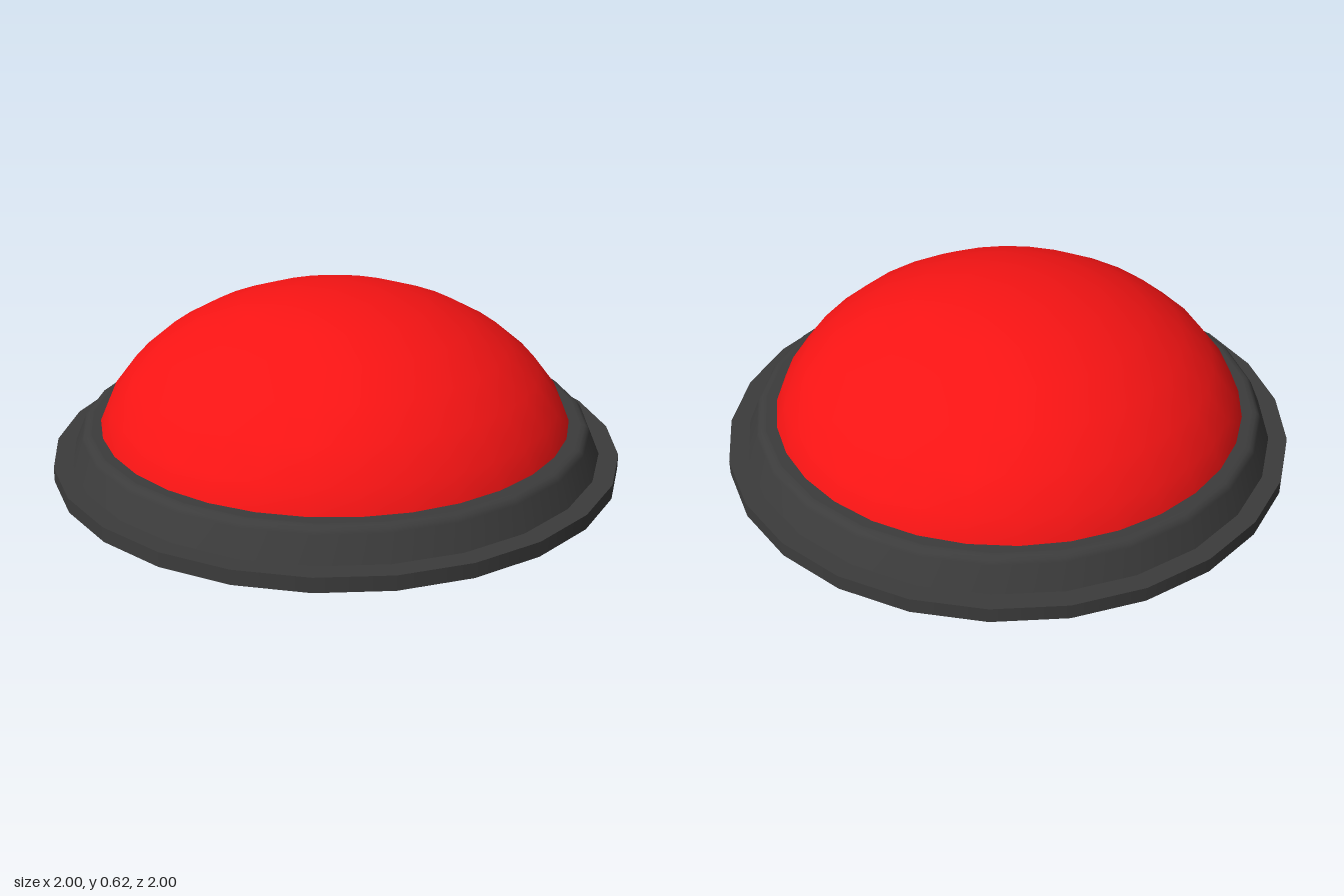
import * as THREE from 'three';

const SIDES = 25;

export function createModel() {
  const model = new THREE.Group();
  const dark = new THREE.MeshStandardMaterial({ color: 0x3c3c3c });
  const red = new THREE.MeshStandardMaterial({ color: 0xf81414 });

  const add = (name, geometry, material, x, y) => {
    const mesh = new THREE.Mesh(geometry, material);
    mesh.name = name;
    mesh.position.set(x, y, 0);
    model.add(mesh);
  };

  // Flat base plate, one corner pointing to +x
  const plate = new THREE.CylinderGeometry(1.003, 1.003, 0.052, SIDES);
  plate.rotateY(Math.PI / 2);
  add('basePlate', plate, dark, -0.004, 0.026);

  // Sloped collar with a rounded shoulder; doubled points keep its edges crisp
  const profile = [
    [0.937, 0.05], [0.9, 0.138], [0.893, 0.15], [0.882, 0.158],
    [0.868, 0.16], [0.867, 0.16], [0.8, 0.16],
  ].map(([r, y]) => new THREE.Vector2(r, y));
  const collar = new THREE.LatheGeometry(profile, SIDES);
  collar.rotateY(Math.PI / 2);
  add('collar', collar, dark, -0.006, 0);

  // Squashed push dome, rising out of the collar
  const dome = new THREE.SphereGeometry(0.86, 32, 8, 0, Math.PI * 2, 0, Math.PI / 2);
  dome.scale(1, 0.605 / 0.86, 1);
  add('dome', dome, red, -0.01, 0.01);

  return model;
}
